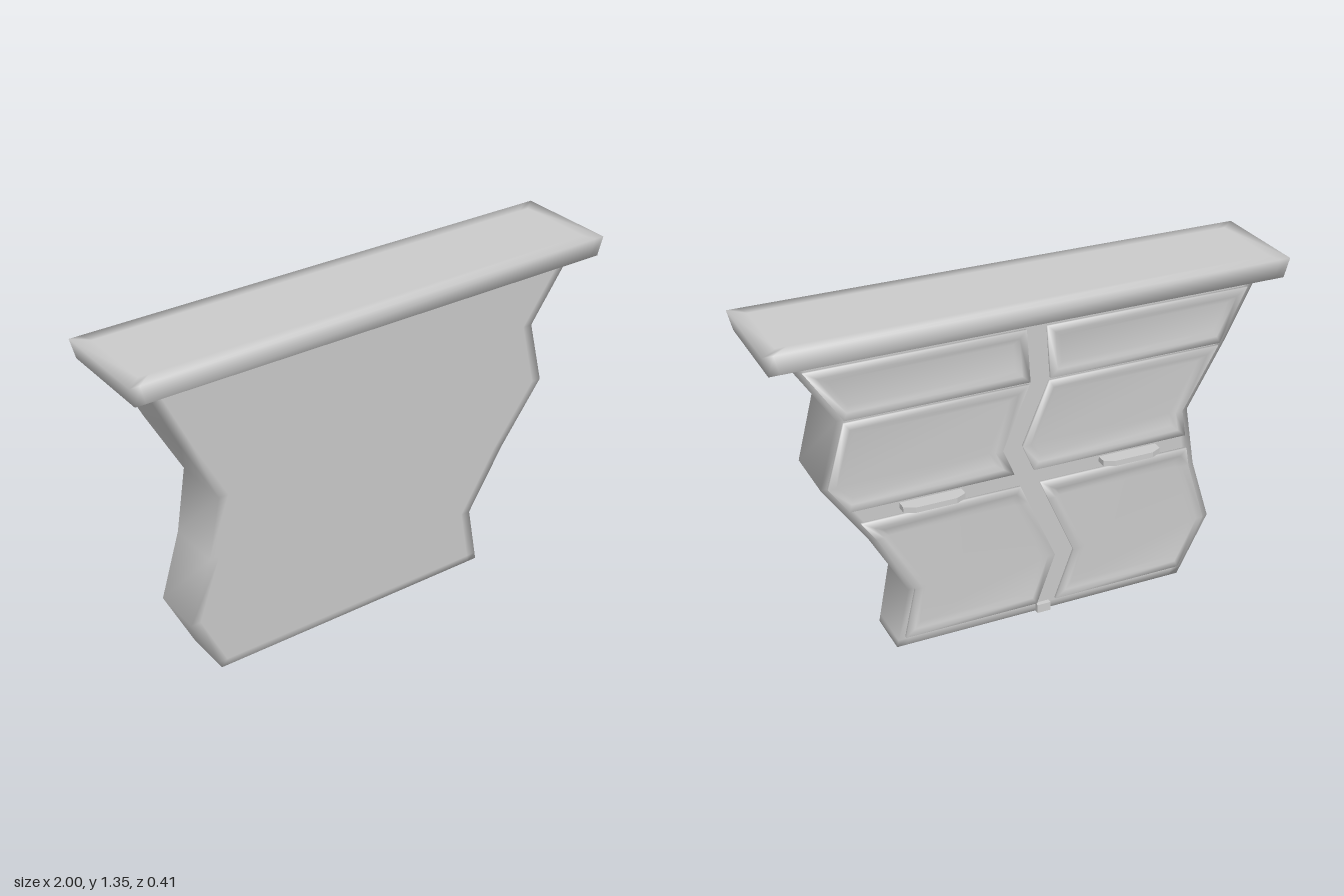
import * as THREE from 'three';

const material = new THREE.MeshStandardMaterial({ color: 0xcccccc });

// Zigzag side profiles of the body
const levels = [0, 0.25, 0.51, 0.76, 1.02, 1.28];
const minusX = [-0.66, -0.78, -0.695, -0.65, -0.79, -0.915];
const plusX = [0.545, 0.495, 0.64, 0.81, 0.74, 0.91];

function sample(xs, y) {
  let i = 0;
  while (i < levels.length - 2 && y > levels[i + 1]) i += 1;
  const t = (y - levels[i]) / (levels[i + 1] - levels[i]);
  return xs[i] + (xs[i + 1] - xs[i]) * t;
}

function middle(y) {
  return (sample(minusX, y) + sample(plusX, y)) / 2;
}

function halfDepth(y) {
  return 0.095 + 0.0315 * y;
}

// Every part is stored as plain triangles with positions, normals and uvs
function makePart(name, geometry) {
  const triangles = geometry.index ? geometry.toNonIndexed() : geometry;
  triangles.clearGroups();
  const mesh = new THREE.Mesh(triangles, material);
  mesh.name = name;
  return mesh;
}

// Smooth skin through equal-length rings; the end caps are strips between the ring's two halves
function loft(name, rings) {
  const n = rings[0].length;
  const index = [];
  for (let r = 0; r < rings.length - 1; r += 1) {
    for (let i = 0; i < n; i += 1) {
      const a = r * n + i;
      const b = r * n + ((i + 1) % n);
      index.push(a, b, b + n, a, b + n, a + n);
    }
  }
  const end = (rings.length - 1) * n;
  for (let i = 0; i < n / 2 - 1; i += 1) {
    const k = n - 1 - i;
    index.push(end + k, end + i, end + i + 1, end + k, end + i + 1, end + k - 1);
    index.push(k, i + 1, i, k, k - 1, i + 1);
  }
  const points = rings.flat();
  const geometry = new THREE.BufferGeometry();
  geometry.setAttribute('position', new THREE.Float32BufferAttribute(points.flat(), 3));
  geometry.setAttribute('uv', new THREE.Float32BufferAttribute(points.flatMap(([x, y]) => [x, y]), 2));
  geometry.setIndex(index);
  geometry.computeVertexNormals();
  return makePart(name, geometry);
}

// Horizontal rectangle with extra points close to its corners
function rectangle(x0, x1, z, y) {
  const front = [x0, x0 + 0.04, x1 - 0.04, x1].map((x) => [x, y, z]);
  const back = front.map(([x]) => [x, y, -z]).reverse();
  return [...front, ...back];
}

function makeBody() {
  const ys = [0, 0.03, 0.25, 0.51, 0.76, 1.02, 1.24, 1.28];
  const walls = ys.map((y) => rectangle(sample(minusX, y), sample(plusX, y), halfDepth(y)  , y));
  const base = rectangle(minusX[0] + 0.04, plusX[0] - 0.04, 0.06, 0);
  return loft('body', [base, ...walls]);
}

function makeTop() {
  return loft('tabletop', [
    rectangle(-0.93, 0.93, 0.15, 1.27),
    rectangle(-0.982, 0.982, 0.201, 1.27),
    rectangle(-1, 1, 0.207, 1.345),
    rectangle(-0.94, 0.94, 0.155, 1.345),
  ]);
}

// Raised frame with a sunken field, following the bends of the body
function makePanel(name, side, y0, y1) {
  const bends = levels.filter((y) => y > y0 + 0.06 && y < y1 - 0.06);
  const steps = [[0, -0.005], [0, 0.011], [0.03, 0.011], [0.052, 0.001]];
  const rings = steps.map(([inset, rise]) => {
    const ys = [y0 + inset, ...bends, y1 - inset];
    const point = (x, y) => [x, y, -halfDepth(y) - rise];
    const low = (y) => (side > 0 ? middle(y) + 0.04 : sample(minusX, y) + 0.025) + inset;
    const high = (y) => (side > 0 ? sample(plusX, y) - 0.025 : middle(y) - 0.04) - inset;
    const rising = ys.map((y) => point(low(y), y));
    const falling = ys.map((y) => point(high(y), y)).reverse();
    return [...rising, ...falling];
  });
  return loft(name, rings);
}

// Flat pull with clipped outer corners
function makeHandle(side) {
  const outline = [
    [-0.12, 0.1], [0.12, 0.1], [0.12, 0.152], [0.08, 0.172], [-0.08, 0.172], [-0.12, 0.152],
  ];
  const shape = new THREE.Shape(outline.map(([x, y]) => new THREE.Vector2(x, y)));
  const geometry = new THREE.ExtrudeGeometry(shape, { depth: 0.022, bevelEnabled: false });
  geometry.rotateX(-Math.PI / 2);
  const handle = makePart('handle', geometry);
  handle.position.set(side * 0.4, 0.615, 0);
  return handle;
}

export function createModel() {
  const group = new THREE.Group();
  group.name = 'crookedCabinet';
  group.add(makeBody(), makeTop());

  for (const side of [1, -1]) {
    group.add(
      makePanel('lowerDoor', side, 0.04, 0.59),
      makePanel('middleDrawer', side, 0.65, 1.01),
      makePanel('upperDrawer', side, 1.02, 1.23),
      makeHandle(side),
    );
  }

  // Small stop at the foot of the middle gap
  const stop = makePart('doorStop', new THREE.BoxGeometry(0.055, 0.036, 0.03));
  stop.position.set(middle(0), 0.018, -0.1);
  group.add(stop);
  return group;
}
